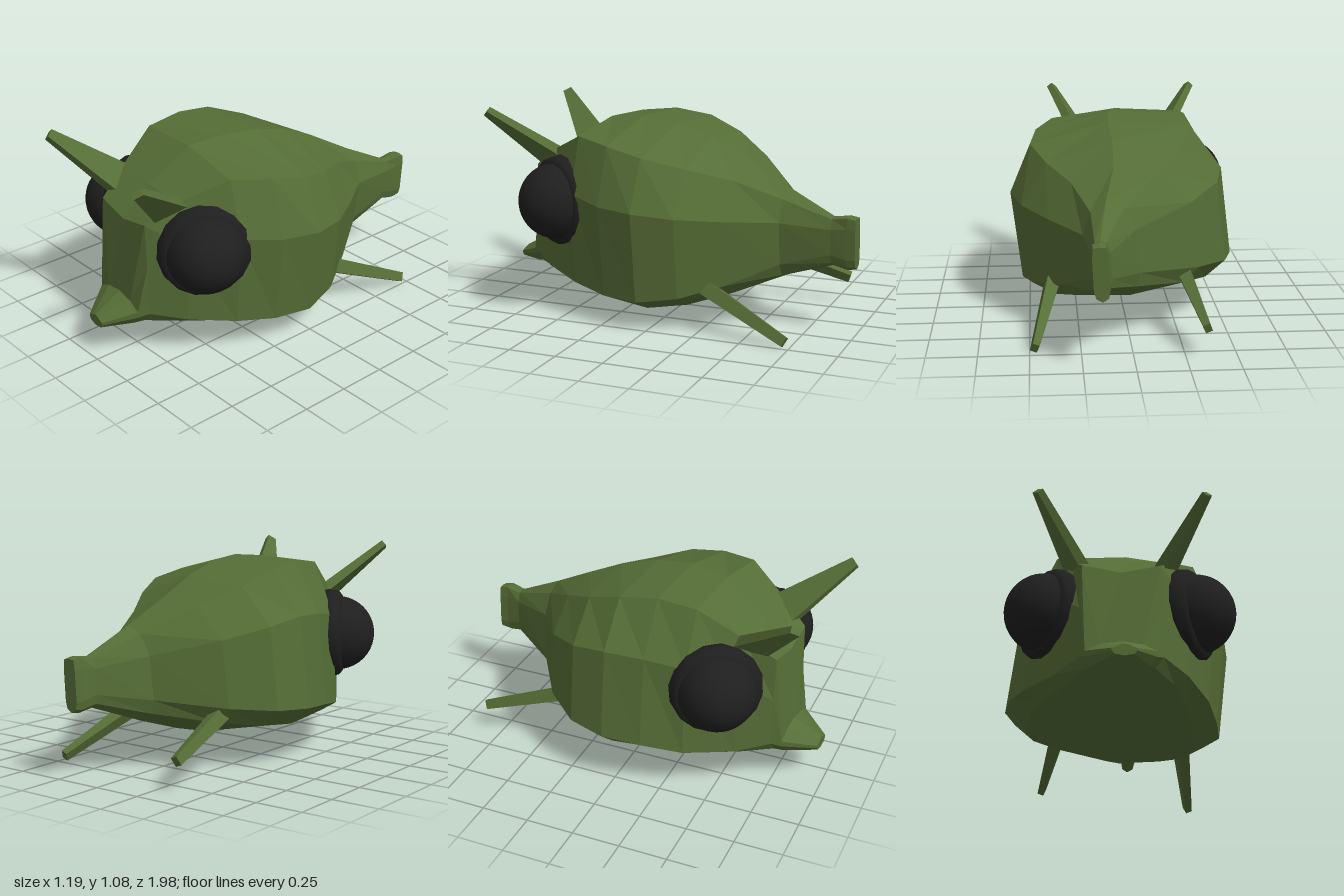
import * as THREE from 'three';

const V = (x, y, z) => new THREE.Vector3(x, y, z);

// Body stations from tail to mouth:
// z, centre x, bottom y, lower flank y, upper flank y, flank half-width, edge y, edge half-width, top y
const STATIONS = [
  [-0.95, 0.17, 0.34, 0.4, 0.56, 0.038, 0.615, 0.032, 0.62],
  [-0.87, 0.16, 0.355, 0.42, 0.55, 0.045, 0.6, 0.028, 0.61],
  [-0.62, 0.105, 0.26, 0.36, 0.58, 0.13, 0.69, 0.08, 0.735],
  [-0.4, 0.035, 0.185, 0.29, 0.63, 0.36, 0.8, 0.22, 0.86],
  [-0.2, 0.02, 0.135, 0.25, 0.67, 0.505, 0.88, 0.35, 0.955],
  [0, 0.022, 0.11, 0.23, 0.7, 0.56, 0.945, 0.42, 1.01],
  [0.2, 0.01, 0.13, 0.225, 0.7, 0.525, 0.98, 0.4, 1.035],
  [0.4, -0.01, 0.15, 0.225, 0.7, 0.455, 0.98, 0.35, 1.015],
  [0.62, -0.025, 0.17, 0.235, 0.64, 0.32, 0.855, 0.25, 0.86],
  [0.77, -0.04, 0.175, 0.26, 0.52, 0.2, 0.75, 0.19, 0.71],
  [0.815, -0.045, 0.17, 0.24, 0.27, 0.17, 0.305, 0.1, 0.32],
  [0.965, -0.045, 0.175, 0.2, 0.213, 0.058, 0.23, 0.02, 0.236],
];

// Closed ring of one station; the body rolls and yaws a little behind the face
function ring([z, cx, bottom, lowY, highY, w, edgeY, edgeW, top]) {
  const keel = [w * 0.78, bottom + 0.33 * (lowY - bottom)];
  const half = [keel, [w, lowY], [w, highY], [edgeW, edgeY]];
  const pts = [[0, bottom], ...half, [0, top], ...half.map(([x, y]) => [-x, y]).reverse()];
  const front = 1 - THREE.MathUtils.smoothstep(z, 0.1, 0.7);
  const roll = -0.122 * front * THREE.MathUtils.smoothstep(z, -1.4, -0.4);
  const c = Math.cos(roll), s = Math.sin(roll);
  return pts.map(([x, y]) => {
    const h = y - 0.57;
    return V(cx + x * c - h * s, 0.57 + x * s + h * c, z + x * 0.07);
  });
}

// Faceted skin over the rings with both ends closed
function loft(rings) {
  const pos = [];
  const tri = (...p) => p.forEach(q => pos.push(q.x, q.y, q.z));
  const count = rings[0].length;
  for (let i = 0; i < rings.length - 1; i++) {
    for (let j = 0; j < count; j++) {
      const k = (j + 1) % count;
      const a = rings[i][j], b = rings[i][k], c = rings[i + 1][k], d = rings[i + 1][j];
      tri(a, b, c);
      tri(a, c, d);
    }
  }
  const cap = (r, flip) => {
    const mid = r.reduce((m, p) => m.add(p), V(0, 0, 0)).divideScalar(count);
    r.forEach((p, j) => {
      const q = r[(j + 1) % count];
      if (flip) tri(mid, q, p);
      else tri(mid, p, q);
    });
  };
  cap(rings[0], true);
  cap(rings[rings.length - 1], false);
  const g = new THREE.BufferGeometry();
  g.setAttribute('position', new THREE.Float32BufferAttribute(pos, 3));
  g.computeVertexNormals();
  return g;
}

// Tapered four-sided horn, broad along the given axis; sizes are [thin, wide] at base and tip
function horn(name, base, tip, axis, [baseSize, tipSize], material) {
  const dir = tip.clone().sub(base), length = dir.length();
  dir.normalize();
  const thin = dir.clone().cross(axis).normalize();
  const wide = thin.clone().cross(dir);
  const g = new THREE.BoxGeometry(1, length, 1);
  const p = g.attributes.position;
  for (let i = 0; i < p.count; i++) {
    const size = p.getY(i) > 0 ? tipSize : baseSize;
    p.setX(i, p.getX(i) * size[0]);
    p.setZ(i, p.getZ(i) * size[1]);
  }
  g.applyMatrix4(new THREE.Matrix4().makeBasis(thin, dir, wide));
  g.computeVertexNormals();
  const m = new THREE.Mesh(g, material);
  m.name = name;
  m.position.copy(base).add(tip).multiplyScalar(0.5);
  return m;
}

// Domed eye in a raised rim, facing outward and forward
function eye(name, centre, side, material) {
  const group = new THREE.Group();
  group.name = name;
  const ball = new THREE.Mesh(new THREE.SphereGeometry(0.2, 32, 20), material);
  ball.name = 'eyeball';
  ball.position.y = 0.015;
  const profile = [[0, -0.09], [0.232, -0.09], [0.238, -0.02], [0.228, 0.025], [0.205, 0.045], [0.18, 0.045]];
  const rim = new THREE.Mesh(
    new THREE.LatheGeometry(profile.map(([x, y]) => new THREE.Vector2(x, y)), 16), material);
  rim.name = 'eyeRim';
  group.add(ball, rim);
  group.position.copy(centre);
  group.quaternion.setFromUnitVectors(V(0, 1, 0), V(side * 0.87, 0.02, 0.49).normalize());
  return group;
}

export function createModel() {
  const skin = new THREE.MeshStandardMaterial({ color: 0x556d36, flatShading: true });
  skin.name = 'olive green skin';
  const black = new THREE.MeshStandardMaterial({ color: 0x1f1f1f });
  black.name = 'black eye';

  const model = new THREE.Group();
  model.name = 'hornedFish';

  // Body, tail and mouth in one skin; the tail ends in a short tapered rim
  const rings = STATIONS.map(ring);
  rings.unshift(rings[0].map(p => V(p.x, 0.48 + (p.y - 0.48) * 0.94, p.z - 0.045)));
  const body = new THREE.Mesh(loft(rings), skin);
  body.name = 'body';
  model.add(body);

  // Brow horns and rear spines
  const brow = [[0.055, 0.18], [0.035, 0.05]], rear = [[0.07, 0.075], [0.035, 0.05]];
  model.add(
    horn('leftBrowHorn', V(0.185, 0.795, 0.65), V(0.357, 1.055, 0.965), V(-1, -1, 1), brow, skin),
    horn('rightBrowHorn', V(-0.24, 0.795, 0.62), V(-0.455, 1.065, 0.905), V(1, -1, 1), brow, skin),
    horn('leftRearSpine', V(0.38, 0.235, -0.28), V(0.475, 0.035, -0.725), V(0.4, -1, 0), rear, skin),
    horn('rightRearSpine', V(-0.285, 0.31, -0.37), V(-0.352, 0.155, -0.835), V(-0.4, -1, 0), rear, skin));

  // Eyes
  model.add(
    eye('leftEye', V(0.335, 0.605, 0.56), 1, black),
    eye('rightEye', V(-0.385, 0.605, 0.505), -1, black));
  return model;
}
